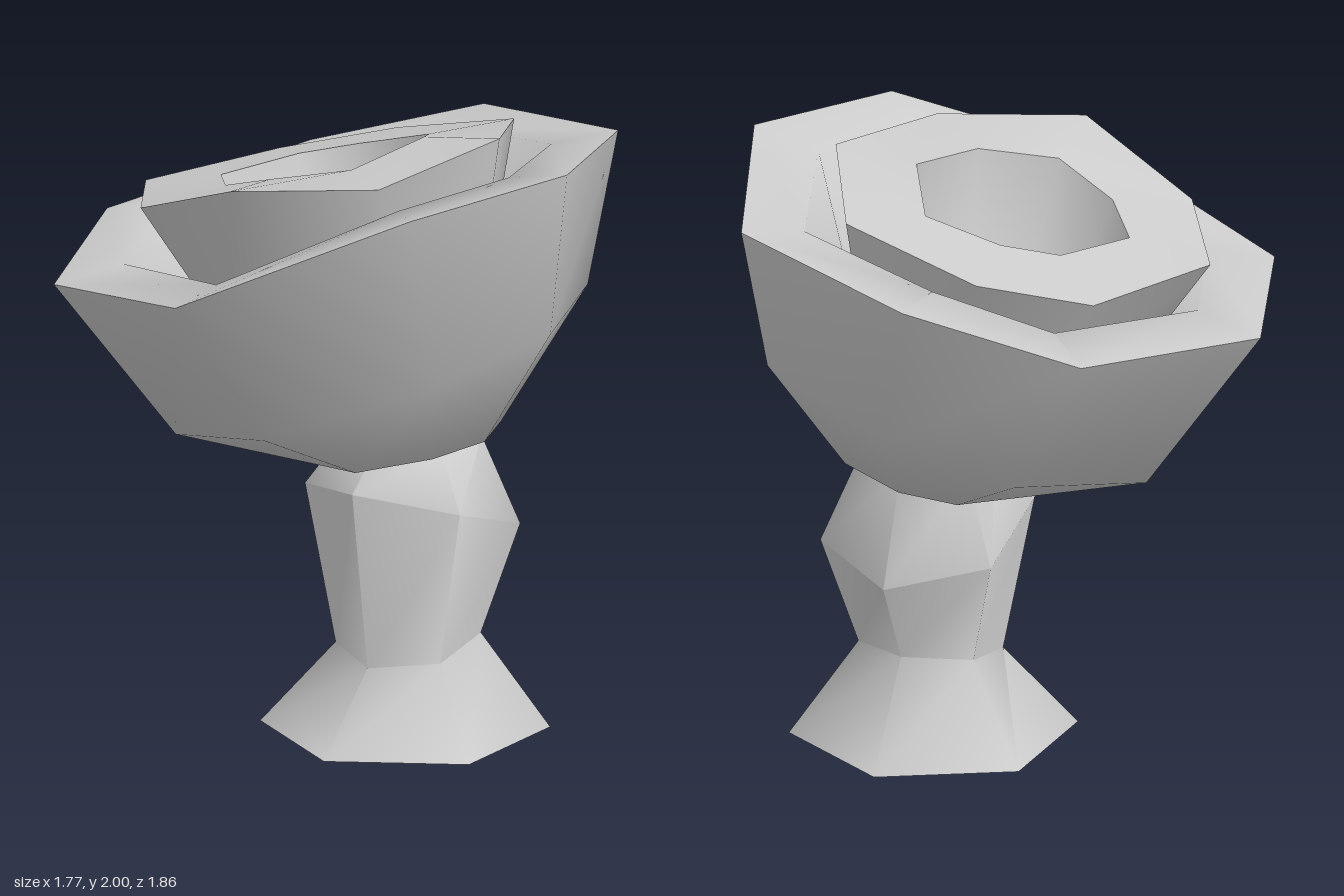
import * as THREE from 'three';
import { toCreasedNormals } from 'three/addons/utils/BufferGeometryUtils.js';

// Skin between rings of [x, y, z] points (ordered back, right, front, left), closed at both ends
function loft(rings) {
  const n = rings[0].length, pos = [];
  const tri = (...pts) => pts.forEach((p) => pos.push(...p));
  const middle = (r) => [0, 1, 2].map((k) => r.reduce((s, p) => s + p[k], 0) / n);
  const first = rings[0], last = rings[rings.length - 1];
  for (let j = 0; j < n; j++) {
    const k = (j + 1) % n;
    for (let i = 0; i < rings.length - 1; i++) {
      const lo = rings[i], hi = rings[i + 1];
      tri(lo[j], hi[j], lo[k]);
      tri(lo[k], hi[j], hi[k]);
    }
    tri(middle(first), first[j], first[k]);
    tri(middle(last), last[k], last[j]);
  }
  const geo = new THREE.BufferGeometry();
  geo.setAttribute('position', new THREE.Float32BufferAttribute(pos, 3));
  return toCreasedNormals(geo, 1.15);
}

// Scaled copy of an outline laid on a tilted plane through (cx, cy, cz)
function tilted(outline, scale, [cx, cy, cz], slopeX, slopeZ) {
  return outline.map((p) => {
    const dx = p[0] * scale, dz = p[2] * scale;
    return [cx + dx, cy + slopeX * dx + slopeZ * dz, cz + dz];
  });
}

export function createModel() {
  const group = new THREE.Group();
  const grey = new THREE.MeshStandardMaterial({ color: 0xcccccc });
  grey.name = 'light grey';
  const add = (name, geo) => {
    const mesh = new THREE.Mesh(geo, grey);
    mesh.name = name;
    group.add(mesh);
  };

  // Six-sided stem: flared foot, tilted waist and shoulder
  const hexagon = Array.from({ length: 6 }, (_, j) => {
    const t = (j * Math.PI) / 3;
    return [Math.sin(t), 0, -Math.cos(t)];
  });
  add('stem', loft([
    tilted(hexagon, 0.465, [0.25, 0, -0.065], 0, 0),
    tilted(hexagon, 0.233, [0.255, 0.29, -0.075], 0, -0.18),
    tilted(hexagon, 0.345, [0.255, 0.735, -0.1], 0, 0.35),
    tilted(hexagon, 0.22, [0.25, 0.965, -0.11], 0, 0),
  ]));

  // Eight-sided rims of the outer petal, inner petal and central hollow
  const outerRim = [
    [-0.03, 1.80, -0.93], [0.63, 1.89, -0.72], [0.885, 1.97, -0.05], [0.65, 1.92, 0.50],
    [0.03, 1.63, 0.925], [-0.63, 1.51, 0.64], [-0.89, 1.53, -0.05], [-0.57, 1.63, -0.74],
  ];
  const outerLip = [
    [-0.03, 1.79, -0.70], [0.48, 1.86, -0.56], [0.66, 1.92, -0.05], [0.49, 1.88, 0.33],
    [0.03, 1.645, 0.69], [-0.47, 1.565, 0.48], [-0.67, 1.59, -0.05], [-0.40, 1.66, -0.57],
  ];
  const innerRim = [
    [-0.14, 1.79, -0.60], [0.33, 1.915, -0.57], [0.55, 2.0, -0.16], [0.42, 1.94, 0.34],
    [0, 1.92, 0.57], [-0.43, 1.75, 0.44], [-0.66, 1.70, 0.07], [-0.47, 1.71, -0.42],
  ];
  const hollowRim = [
    [-0.10, 1.82, -0.32], [0.15, 1.89, -0.35], [0.28, 1.965, -0.13], [0.20, 1.92, 0.17],
    [-0.03, 1.88, 0.29], [-0.25, 1.80, 0.22], [-0.39, 1.76, 0.04], [-0.27, 1.78, -0.23],
  ];

  // Flower head: up the outside, down into the groove, up the inner petal, down the hollow
  add('flowerHead', loft([
    tilted(outerRim, 0.33, [0.23, 0.93, -0.1], 0.19, -0.05),
    tilted(outerRim, 0.73, [0.13, 1.19, -0.08], 0.31, -0.12),
    outerRim,
    outerLip,
    tilted(innerRim, 0.68, [0.1, 1.37, -0.04], 0.28, 0),
    innerRim,
    hollowRim,
    tilted(hollowRim, 0.7, [0.06, 1.42, -0.02], 0.25, 0),
    tilted(hollowRim, 0.3, [0.09, 1.32, -0.03], 0.25, 0),
  ]));

  return group;
}
